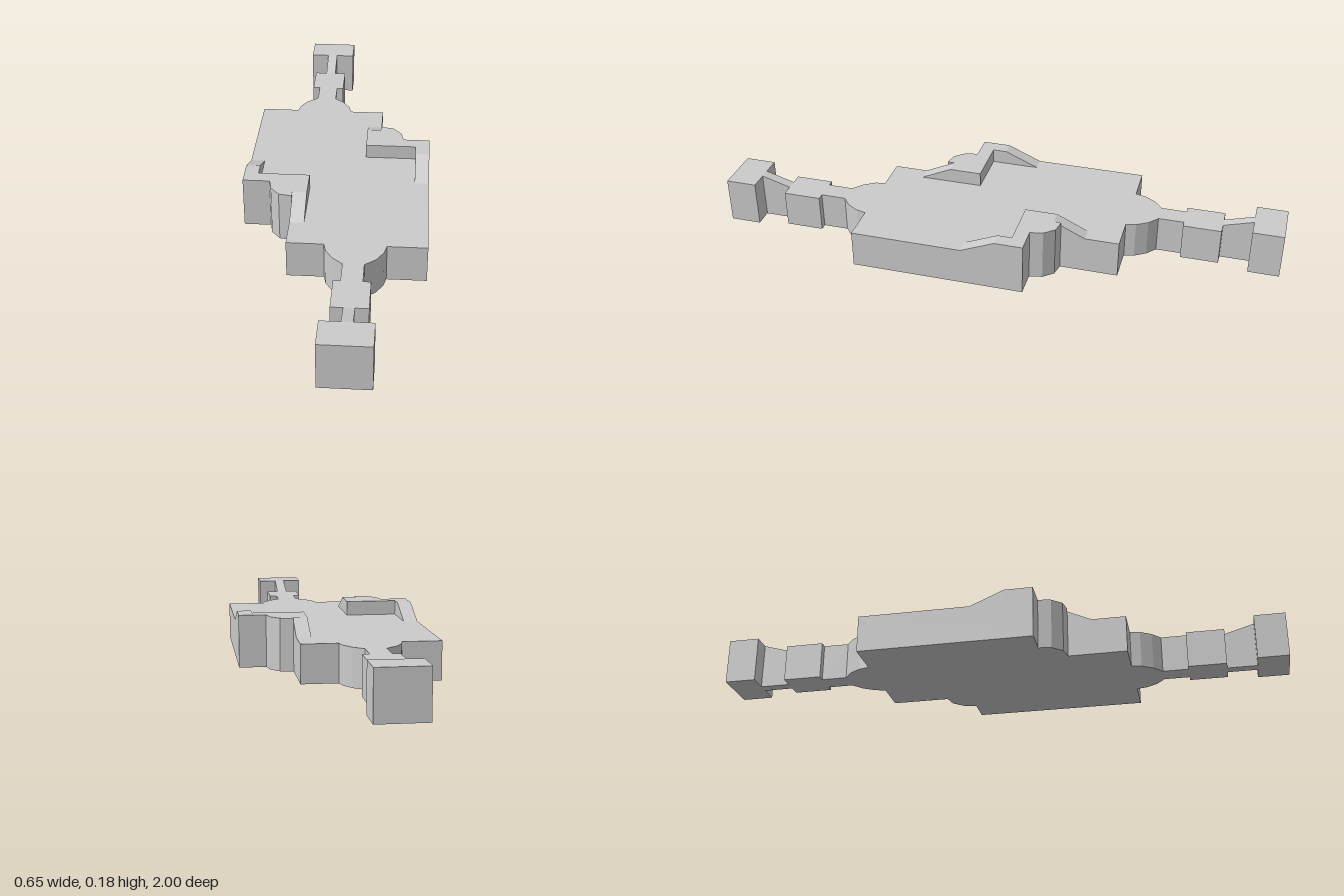
import * as THREE from 'three';

const DECK = 0.133; // height of the flat slab
const RIM = 0.184; // height of the raised corner walls
const TIP = 0.164; // height of the end blocks

const material = new THREE.MeshStandardMaterial({ color: 0xcccccc, flatShading: true });

function mesh(name, geometry) {
  const m = new THREE.Mesh(geometry, material);
  m.name = name;
  return m;
}

// Plan outline given as [x, z], raised from y0 to y1
function slab(name, plan, y0, y1) {
  const shape = new THREE.Shape(plan.map(([x, z]) => new THREE.Vector2(x, -z)));
  const g = new THREE.ExtrudeGeometry(shape, { depth: y1 - y0, bevelEnabled: false });
  return mesh(name, g.rotateX(-Math.PI / 2).translate(0, y0, 0));
}

// Side profile given as [z, y], running from x0 to x1
function ramp(name, profile, x0, x1) {
  const shape = new THREE.Shape(profile.map(([z, y]) => new THREE.Vector2(z, y)));
  const g = new THREE.ExtrudeGeometry(shape, { depth: x1 - x0, bevelEnabled: false });
  return mesh(name, g.rotateY(-Math.PI / 2).translate(x1, 0, 0));
}

// Upright block standing on the ground
function block(name, x0, x1, z0, z1, h) {
  const g = new THREE.BoxGeometry(x1 - x0, h, z1 - z0);
  return mesh(name, g.translate((x0 + x1) / 2, h / 2, (z0 + z1) / 2));
}

// Faceted bulge at the corner, shared by the slab and its raised wall
const cornerCurve = [[-0.144, 0.25], [-0.19, 0.241], [-0.221, 0.205], [-0.23, 0.16]];

function createHalf() {
  const half = new THREE.Group();

  // Raised wall around the corner, with a ramp at each end
  half.add(slab('cornerWall', [
    ...cornerCurve, [-0.325, 0.16], [-0.325, 0.06], [-0.275, 0.06],
    [-0.275, 0.11], [-0.094, 0.11], [-0.094, 0.225], [-0.144, 0.225],
  ], DECK, RIM));
  half.add(ramp('sideRamp', [[-0.06, DECK], [0.06, DECK], [0.06, RIM]], -0.325, -0.275));
  half.add(ramp('frontRamp', [[0.225, DECK], [0.335, DECK], [0.225, RIM]], -0.144, -0.094));

  // Arm reaching out to the end block
  half.add(block('armNeck', 0.05, 0.121, 0.56, 0.65, DECK));
  half.add(block('armBlock', 0.026, 0.147, 0.65, 0.785, DECK));
  half.add(ramp('armRamp', [[0.785, 0], [0.89, 0], [0.89, TIP], [0.785, DECK]], 0.067, 0.104));
  half.add(block('endBlock', 0, 0.17, 0.89, 1, TIP));
  return half;
}

export function createModel() {
  const model = new THREE.Group();
  model.name = 'platform';

  // Half outline of the slab; a half turn gives the rest
  const outline = [
    [0.325, -0.16], [0.325, 0.455],
    [0.19, 0.455], [0.182, 0.49], [0.158, 0.53], [0.121, 0.56],
    [0.05, 0.56], [0.015, 0.53], [-0.01, 0.49], [-0.018, 0.455],
    [-0.144, 0.455], ...cornerCurve,
  ];
  model.add(slab('base', [...outline, ...outline.map(([x, z]) => [-x, -z])], 0, DECK));

  ['frontHalf', 'backHalf'].forEach((name, i) => {
    const half = createHalf();
    half.name = name;
    half.rotation.y = i * Math.PI;
    model.add(half);
  });
  return model;
}
